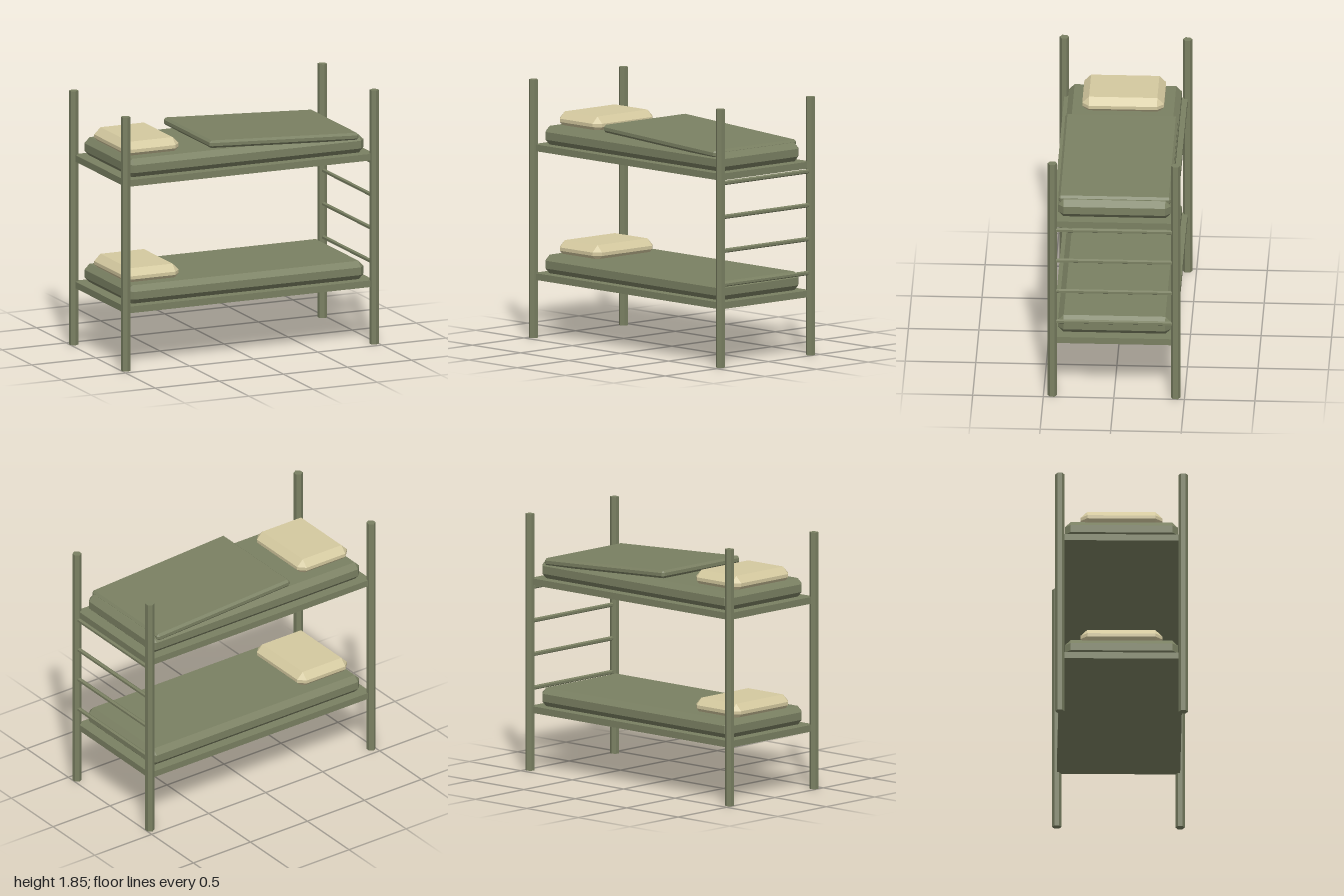
import * as THREE from 'three';
import { ConvexGeometry } from 'three/addons/geometries/ConvexGeometry.js';

const olive = new THREE.MeshStandardMaterial({ color: 0x7a8062 });
olive.name = 'olive';
const cream = new THREE.MeshStandardMaterial({ color: 0xd4c99f });
cream.name = 'cream';

// Box with every edge cut by one flat chamfer of width c
function chamferBox(w, h, d, c) {
  const points = [];
  for (const x of [-1, 1]) for (const y of [-1, 1]) for (const z of [-1, 1]) {
    for (let axis = 0; axis < 3; axis++) {
      const inset = [c, c, c];
      inset[axis] = 0;
      points.push(new THREE.Vector3(
        x * (w / 2 - inset[0]), y * (h / 2 - inset[1]), z * (d / 2 - inset[2])));
    }
  }
  return new ConvexGeometry(points);
}

function addPart(parent, name, geometry, material, x, y, z) {
  const mesh = new THREE.Mesh(geometry, material);
  mesh.name = name;
  mesh.position.set(x, y, z);
  parent.add(mesh);
  return mesh;
}

export function createModel() {
  const group = new THREE.Group();
  group.name = 'bunkBed';

  // Hexagonal corner posts
  const postGeo = new THREE.CylinderGeometry(0.033, 0.033, 1.85, 6).toNonIndexed();
  postGeo.computeVertexNormals();
  for (const x of [-0.97, 0.97]) for (const z of [-0.437, 0.437]) {
    addPart(group, 'post', postGeo, olive, x, 0.925, z);
  }

  // Two bunks: platform, mattress and pillow
  const platformGeo = new THREE.BoxGeometry(1.94, 0.048, 0.874);
  const mattressGeo = chamferBox(1.845, 0.136, 0.8, 0.04);
  const pillowGeo = chamferBox(0.435, 0.12, 0.58, 0.048);
  for (const [name, y] of [['lowerBunk', 0.415], ['upperBunk', 1.337]]) {
    const bunk = new THREE.Group();
    bunk.name = name;
    bunk.position.y = y;
    group.add(bunk);
    addPart(bunk, 'platform', platformGeo, olive, 0, 0.024, 0);
    addPart(bunk, 'mattress', mattressGeo, olive, 0, 0.113, 0);
    addPart(bunk, 'pillow', pillowGeo, cream, -0.683, 0.216, 0);
  }

  // Blanket tilted across the upper mattress
  const blanket = addPart(group, 'blanket', chamferBox(1.165, 0.055, 0.8, 0.016), olive, 0.29, 1.538, 0);
  blanket.rotation.z = -0.052;

  // Ladder rungs between the posts on the +x end
  const rungGeo = new THREE.CylinderGeometry(0.016, 0.016, 0.83, 6).toNonIndexed();
  rungGeo.computeVertexNormals();
  rungGeo.rotateX(Math.PI / 2);
  for (let i = 0; i < 4; i++) {
    addPart(group, 'rung', rungGeo, olive, 0.97, 0.589 + i * 0.2427, 0);
  }

  return group;
}
